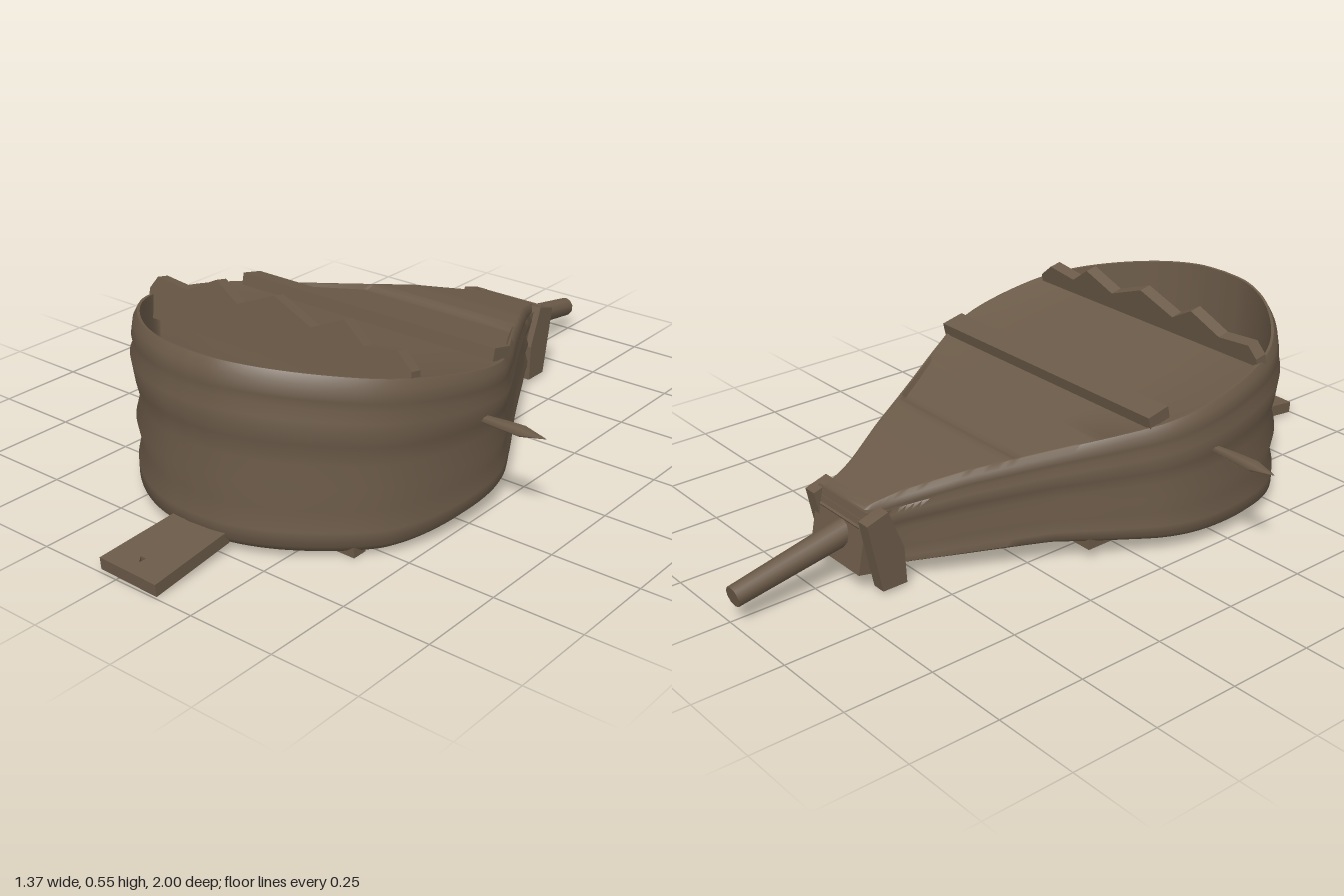
import * as THREE from 'three';
import { toCreasedNormals } from 'three/addons/utils/BufferGeometryUtils.js';

const leather = new THREE.MeshStandardMaterial({ color: 0x6b5a48, side: THREE.DoubleSide });
leather.name = 'brown leather and wood';

// Piecewise-linear lookup in a list of [position, value]
function lerpTable(table, p) {
  for (let i = 1; i < table.length; i++) {
    const [a, va] = table[i - 1], [b, vb] = table[i];
    if (p <= b) return THREE.MathUtils.lerp(va, vb, THREE.MathUtils.clamp((p - a) / (b - a), 0, 1));
  }
  return table[table.length - 1][1];
}
const topY = (z) => lerpTable([[-0.66, 0.225], [-0.4, 0.295], [0, 0.37], [0.4, 0.455], [0.74, 0.52]], z);
const bottomY = (z) => lerpTable([[-0.66, 0.045], [-0.5, 0.05], [-0.2, 0.065], [0, 0.05], [0.5, 0.015], [0.76, 0.025]], z);
// Share of the bag's height by which the pocket before the ridge sinks down,
// and by which the hollow between the lower battens reaches up
const pocketDepth = (z) => lerpTable([[-0.29, 0], [-0.26, 0.06], [0.02, 0.01], [0.41, 0.01], [0.44, 0.66], [0.55, 0.9]], z);
const hollowDepth = (z) => lerpTable([[-0.1, 0.02], [-0.06, 0.86], [0.38, 0.93], [0.42, 0.28], [0.55, 0.04]], z);

function mesh(name, geometry) {
  const m = new THREE.Mesh(geometry, leather);
  m.name = name;
  return m;
}
function box(name, w, h, d, x, y, z, tilt = 0) {
  const m = mesh(name, new THREE.BoxGeometry(w, h, d));
  m.position.set(x, y, z);
  m.rotation.x = tilt;
  return m;
}
function extrude(points, depth) {
  const shape = new THREE.Shape(points.map(([x, y]) => new THREE.Vector2(x, y)));
  return new THREE.ExtrudeGeometry(shape, { depth, bevelEnabled: false });
}

// Teardrop bag: rings lofted from the hollow underside, up the wall, to the pocketed top
function bagGeometry() {
  const half = new THREE.CatmullRomCurve3([
    [0, 0.765], [0.1, 0.755], [0.22, 0.705], [0.35, 0.605], [0.435, 0.5], [0.48, 0.38], [0.497, 0.2],
    [0.475, 0.08], [0.415, -0.04], [0.3, -0.24], [0.195, -0.43], [0.115, -0.58], [0.09, -0.66],
  ].map(([x, z]) => new THREE.Vector3(x, 0, z))).getSpacedPoints(90);
  const outline = [...half, ...half.slice(1).reverse().map((p) => new THREE.Vector3(-p.x, 0, p.z))];
  const n = outline.length;
  const rings = [];
  // Ring with its own x and z scale; height is a share of the way from bottom to top
  const ring = (sx, sz, share) => rings.push(outline.map((p, i) => {
    const z = 0.1 + (p.z - 0.1) * sz;
    return [p.x * sx, THREE.MathUtils.lerp(bottomY(z), topY(z), share(z)), z];
  }));
  // Underside
  for (const [sx, sz, f] of [[0, 0.92, 1], [0.5, 0.92, 1], [0.91, 0.92, 1], [0.93, 0.94, 0]]) {
    ring(sx, sz, (z) => f * hollowDepth(z));
  }
  // Wall with soft folds
  const wall = [[0, 0.95], [0.05, 0.99], [0.13, 0.99], [0.24, 0.97], [0.38, 0.99], [0.5, 0.965],
    [0.62, 0.985], [0.76, 1], [0.82, 0.98], [0.87, 0.99], [0.95, 0.98], [1, 0.96]];
  for (const [t, s] of wall) ring(s, s, () => t);
  // Top board and pocket
  for (const [sx, sz, f] of [[0.945, 0.95, 0], [0.93, 0.93, 1], [0.5, 0.93, 1], [0, 0.93, 1]]) {
    ring(sx, sz, (z) => 1 - f * pocketDepth(z));
  }
  const index = [];
  for (let j = 0; j < rings.length - 1; j++) {
    for (let i = 0; i < n; i++) {
      const k = (i + 1) % n;
      const a = j * n + i, b = j * n + k, c = (j + 1) * n + k, d = (j + 1) * n + i;
      index.push(a, b, c, a, c, d);
    }
  }
  const g = new THREE.BufferGeometry();
  g.setAttribute('position', new THREE.Float32BufferAttribute(rings.flat(2), 3));
  g.setIndex(index);
  return toCreasedNormals(g, 0.95);
}

export function createModel() {
  const group = new THREE.Group();

  const bag = mesh('bag', bagGeometry());
  bag.position.x = 0.012;
  group.add(bag);

  // Toothed ridge leaning back across the top
  const ridge = mesh('toothedRidge', extrude([
    [-0.44, -0.06], [0.46, -0.06], [0.45, 0.02], [0.4, 0.06], [0.3, 0.045], [0.23, 0.095], [0.13, 0.05],
    [0, 0.1], [-0.12, 0.05], [-0.2, 0.095], [-0.3, 0.045], [-0.41, 0.055], [-0.435, 0.02],
  ], 0.036));
  ridge.position.set(0, 0.45, 0.4);
  ridge.rotation.x = -0.2;
  group.add(ridge);

  // Cross battens above and below
  group.add(box('topBatten', 0.87, 0.05, 0.07, 0.015, 0.388, 0.055, -0.22));
  group.add(box('frontUnderBatten', 0.74, 0.03, 0.045, 0.012, 0.02, 0.545));
  group.add(box('rearUnderBatten', 0.72, 0.035, 0.08, 0.012, 0.055, -0.08));

  // Side pegs: long flattened spikes
  for (const side of [-1, 1]) {
    const g = new THREE.LatheGeometry([[0.012, -0.13], [0.024, 0.0], [0.026, 0.05], [0.001, 0.12]]
      .map(([r, y]) => new THREE.Vector2(r, y)), 6);
    g.scale(0.45, 1, 1);
    const peg = mesh(side > 0 ? 'leftPeg' : 'rightPeg', g);
    peg.rotation.z = -side * Math.PI / 2;
    peg.position.set(side * 0.565, 0.28, side > 0 ? 0.195 : 0.21);
    group.add(peg);
  }

  // Front handle board with a small hanging hole
  const board = new THREE.Shape([[-0.085, 0], [0.085, 0], [0.1, 0.265], [-0.095, 0.26]]
    .map(([x, y]) => new THREE.Vector2(x, y)));
  board.holes.push(new THREE.Path([[-0.015, 0.2], [0, 0.22], [0.003, 0.2]]
    .map(([x, y]) => new THREE.Vector2(x, y))));
  const handle = mesh('handle', new THREE.ExtrudeGeometry(board, { depth: 0.034, bevelEnabled: false }));
  handle.rotation.x = Math.PI / 2 + 0.08;
  handle.position.set(0.035, 0.063, 0.735);
  group.add(handle);

  // Rear collar with a cheek on each side reaching down as feet
  group.add(box('collar', 0.22, 0.17, 0.09, 0.01, 0.135, -0.62, 0.2));
  for (const side of [-1, 1]) {
    const cheek = mesh(side > 0 ? 'leftCheek' : 'rightCheek', extrude([
      [0.56, 0.015], [0.635, 0.015], [0.675, 0.215], [0.61, 0.235], [0.565, 0.12],
    ], 0.04));
    cheek.rotation.y = Math.PI / 2;
    cheek.position.x = side > 0 ? 0.1 : -0.14;
    group.add(cheek);
  }

  // Nozzle pipe
  const from = new THREE.Vector3(0, 0.147, -0.62), to = new THREE.Vector3(-0.012, 0.08, -0.993);
  const dir = to.clone().sub(from);
  const nozzle = mesh('nozzle', new THREE.CylinderGeometry(0.029, 0.037, dir.length(), 10));
  nozzle.position.copy(from).add(to).multiplyScalar(0.5);
  nozzle.quaternion.setFromUnitVectors(new THREE.Vector3(0, 1, 0), dir.normalize());
  group.add(nozzle);

  return group;
}
